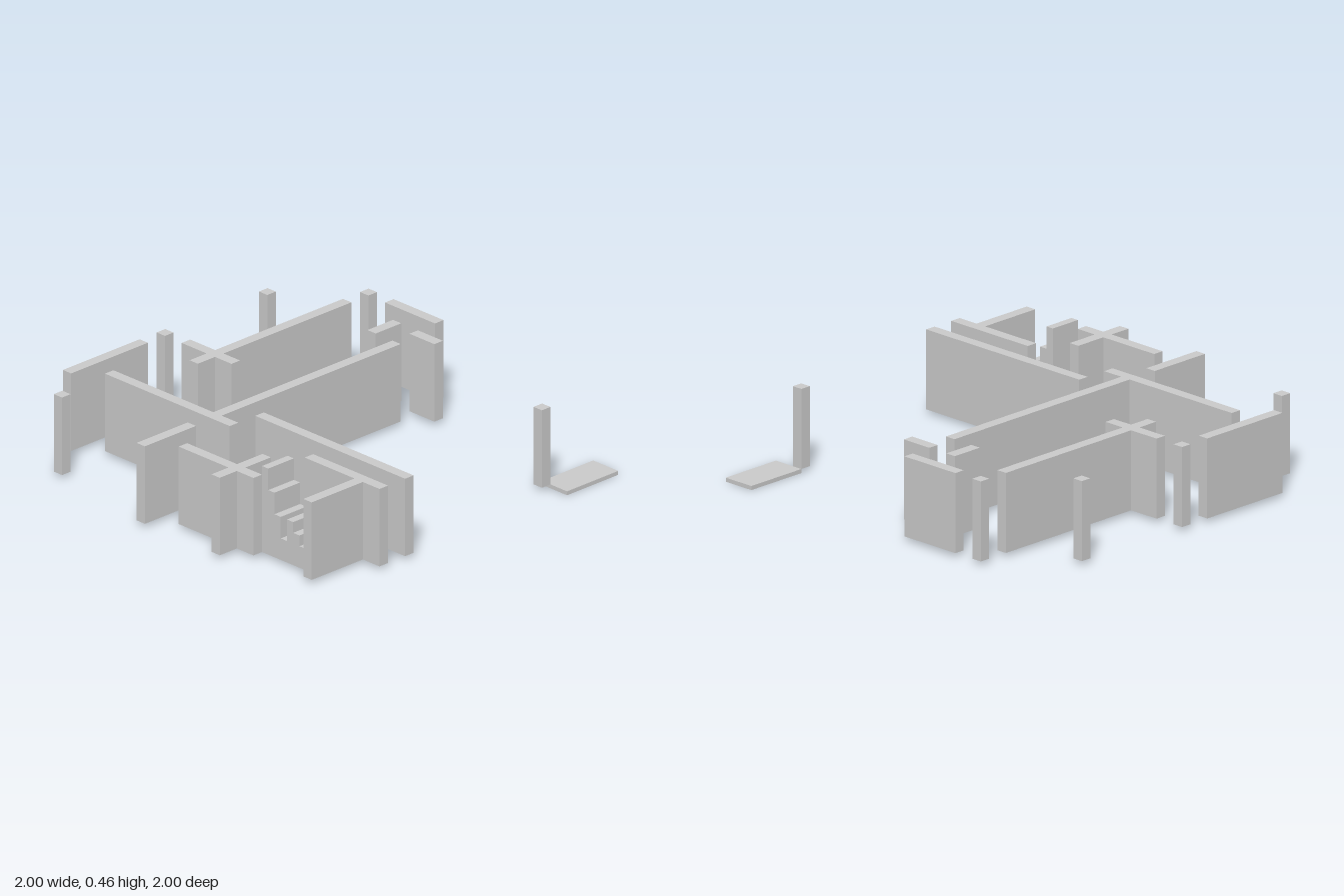
import * as THREE from 'three';

const CELL = 1 / 6;        // plan grid spacing
const THICK = 1 / 18;      // wall thickness
const FLOOR = 0.02, TOP = 0.416;

const material = new THREE.MeshStandardMaterial({ color: 0xcccccc, flatShading: true });
const stairMaterial = new THREE.MeshStandardMaterial({
  color: 0xcccccc, flatShading: true, side: THREE.DoubleSide,
});

// Box given by its lowest corner and its size
function block(name, x, y, z, w, h, d) {
  const mesh = new THREE.Mesh(new THREE.BoxGeometry(w, h, d), material);
  mesh.position.set(x + w / 2, y + h / 2, z + d / 2);
  mesh.name = name;
  return mesh;
}

// Stepped block, open underneath: one strip over the treads and risers, two flat sides
function staircase(x0, z0, z1) {
  const run = CELL / 4;
  const rise = 0.11;
  const heights = [4, 3, 2, 1, 2, 1.5, 1, 0.5].map((n) => FLOOR + n * rise);
  const profile = [new THREE.Vector2(x0, FLOOR)];
  heights.forEach((y, i) => {
    profile.push(new THREE.Vector2(x0 + i * run, y), new THREE.Vector2(x0 + (i + 1) * run, y));
  });
  profile.push(new THREE.Vector2(x0 + heights.length * run, FLOOR));

  const positions = [], indices = [];
  profile.forEach((p, i) => {
    positions.push(p.x, p.y, z0, p.x, p.y, z1);
    if (i) {
      const a = 2 * i - 2;
      indices.push(a, a + 1, a + 2, a + 1, a + 3, a + 2);
    }
  });
  const strip = new THREE.BufferGeometry();
  strip.setAttribute('position', new THREE.Float32BufferAttribute(positions, 3));
  strip.setIndex(indices);
  const steps = strip.toNonIndexed();
  steps.computeVertexNormals();

  const group = new THREE.Group();
  group.name = 'staircase';
  const treads = new THREE.Mesh(steps, stairMaterial);
  treads.name = 'treadsAndRisers';
  group.add(treads);
  const side = new THREE.ShapeGeometry(new THREE.Shape(profile));
  for (const [name, z] of [['stairFrontSide', z1], ['stairBackSide', z0]]) {
    const mesh = new THREE.Mesh(side, stairMaterial);
    mesh.position.z = z;
    mesh.name = name;
    group.add(mesh);
  }
  return group;
}

export function createModel() {
  const model = new THREE.Group();
  model.name = 'floorPlan';
  const height = TOP - FLOOR;

  // Walls along x: start x, start z, length (in grid cells)
  const wallsX = [
    [-3, -6, 2], [-1, -5, 1], [-5, 0, 2], [-5, 3, 5],
    [0, 5, 3], [0, 2, 6], [3, 3, 3],
  ];
  for (const [x, z, n] of wallsX) {
    model.add(block('crossWall', x * CELL, FLOOR, z * CELL, n * CELL, height, THICK));
  }

  // Walls along z: start x, start z, length (in grid cells)
  const wallsZ = [
    [-4, -5, 6], [-2, -5, 1], [-1, -4, 7], [-6, 1, 3],
    [-1, 4, 2], [2, 4, 2], [5, 3, 7 / 3],
  ];
  for (const [x, z, n] of wallsZ) {
    model.add(block('lengthWall', x * CELL, FLOOR, z * CELL, THICK, height, n * CELL));
  }

  // Square posts
  for (const [x, z] of [[-4, -6], [-6, -4], [-6, 0], [-5, 5], [5, -4]]) {
    model.add(block('post', x * CELL, FLOOR, z * CELL, THICK, height, THICK));
  }

  // Thin floor slab at the back corner
  model.add(block('floorSlab', 5 * CELL, 0, -6 * CELL, CELL, FLOOR, 2 * CELL));

  model.add(staircase(3 * CELL, 4 * CELL, 5 * CELL));
  return model;
}
